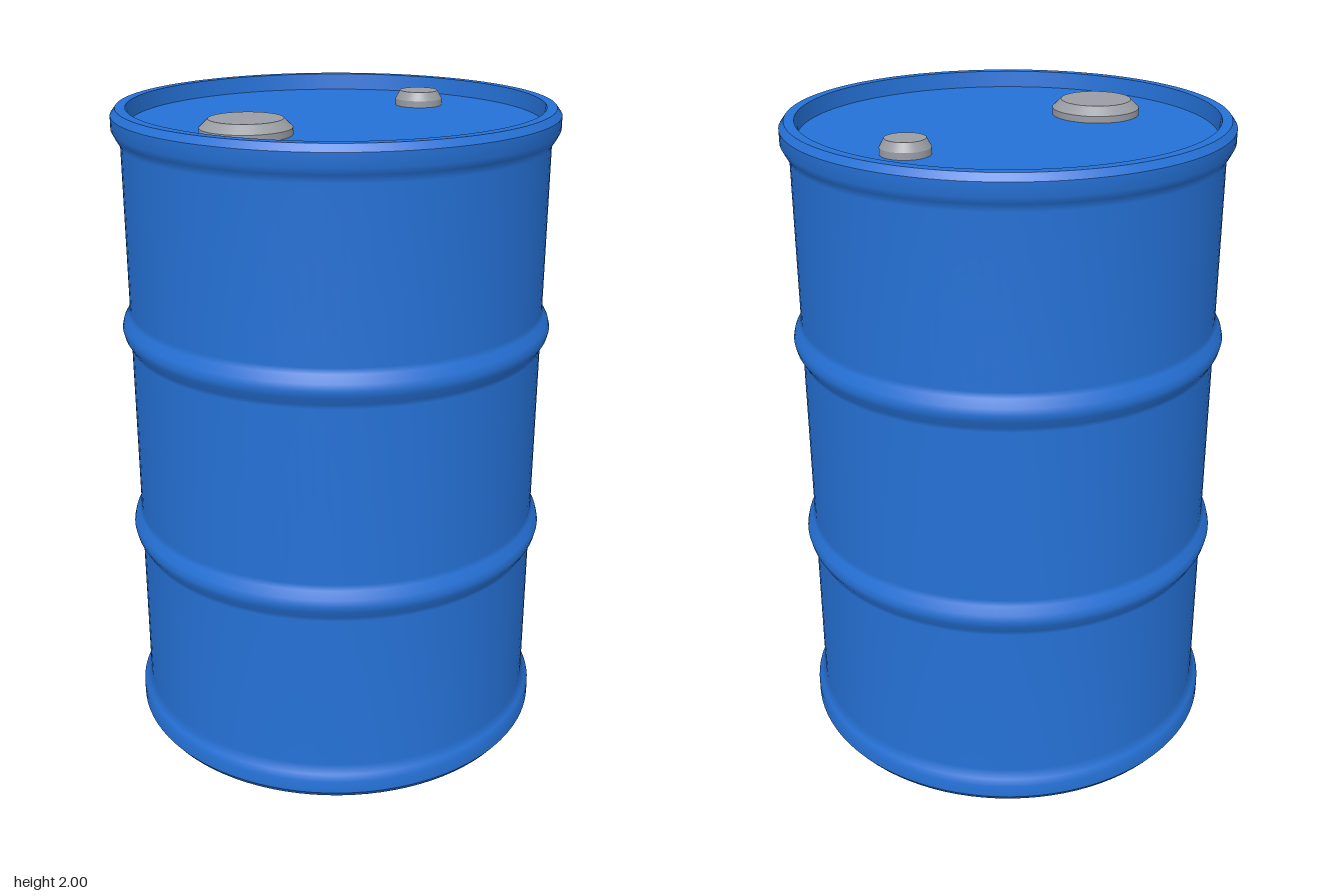
import * as THREE from 'three';
import { mergeGeometries } from 'three/addons/utils/BufferGeometryUtils.js';

const SEGMENTS = 96;

// Revolve several [radius, height] runs; smooth within a run, sharp between runs.
function revolve(runs, segments = SEGMENTS) {
  return mergeGeometries(runs.map((run) =>
    new THREE.LatheGeometry(run.map(([r, y]) => new THREE.Vector2(r, y)), segments)));
}

// Rolling hoop bulging out of the wall around height y.
function hoop(y) {
  return [[0.64, y - 0.06], [0.646, y - 0.044], [0.66, y - 0.02], [0.665, y],
    [0.66, y + 0.02], [0.646, y + 0.044], [0.64, y + 0.06]];
}

export function createModel() {
  const blue = new THREE.MeshStandardMaterial({ color: 0x2571d6 });
  blue.name = 'blue paint';
  const grey = new THREE.MeshStandardMaterial({ color: 0x9a9da3 });
  grey.name = 'grey metal';

  const group = new THREE.Group();
  group.name = 'drum';
  const add = (name, geometry, material) => {
    const mesh = new THREE.Mesh(geometry, material);
    mesh.name = name;
    group.add(mesh);
    return mesh;
  };

  // Wall with end chimes and two rolling hoops
  add('wall', revolve([[
    [0.665, 0.02], [0.665, 0.06], [0.655, 0.08], [0.64, 0.105],
    ...hoop(0.67), ...hoop(1.335),
    [0.64, 1.895], [0.655, 1.92], [0.665, 1.94], [0.665, 1.98],
  ]]), blue);

  // Flat base with chamfered edge
  add('base', revolve([
    [[0, 0], [0.65, 0]],
    [[0.65, 0], [0.665, 0.02]],
  ]), blue);

  // Top rim: chamfer, flat lip and inner wall
  add('rim', revolve([
    [[0.665, 1.98], [0.65, 2]],
    [[0.65, 2], [0.62, 2]],
    [[0.62, 2], [0.615, 1.95]],
  ]), blue);

  // Recessed lid
  add('lid', revolve([[[0.615, 1.95], [0, 1.95]]]), blue);

  // Bevelled bung caps
  const bung = (name, x, z, r, rTop) => {
    const cap = add(name, revolve([
      [[r, 0], [r, 0.02]],
      [[r, 0.02], [rTop, 0.045]],
      [[rTop, 0.045], [0, 0.045]],
    ], 48), grey);
    cap.position.set(x, 1.95, z);
  };
  bung('largeBung', -0.335, 0.097, 0.133, 0.107);
  bung('smallBung', 0.366, -0.137, 0.073, 0.059);

  return group;
}
